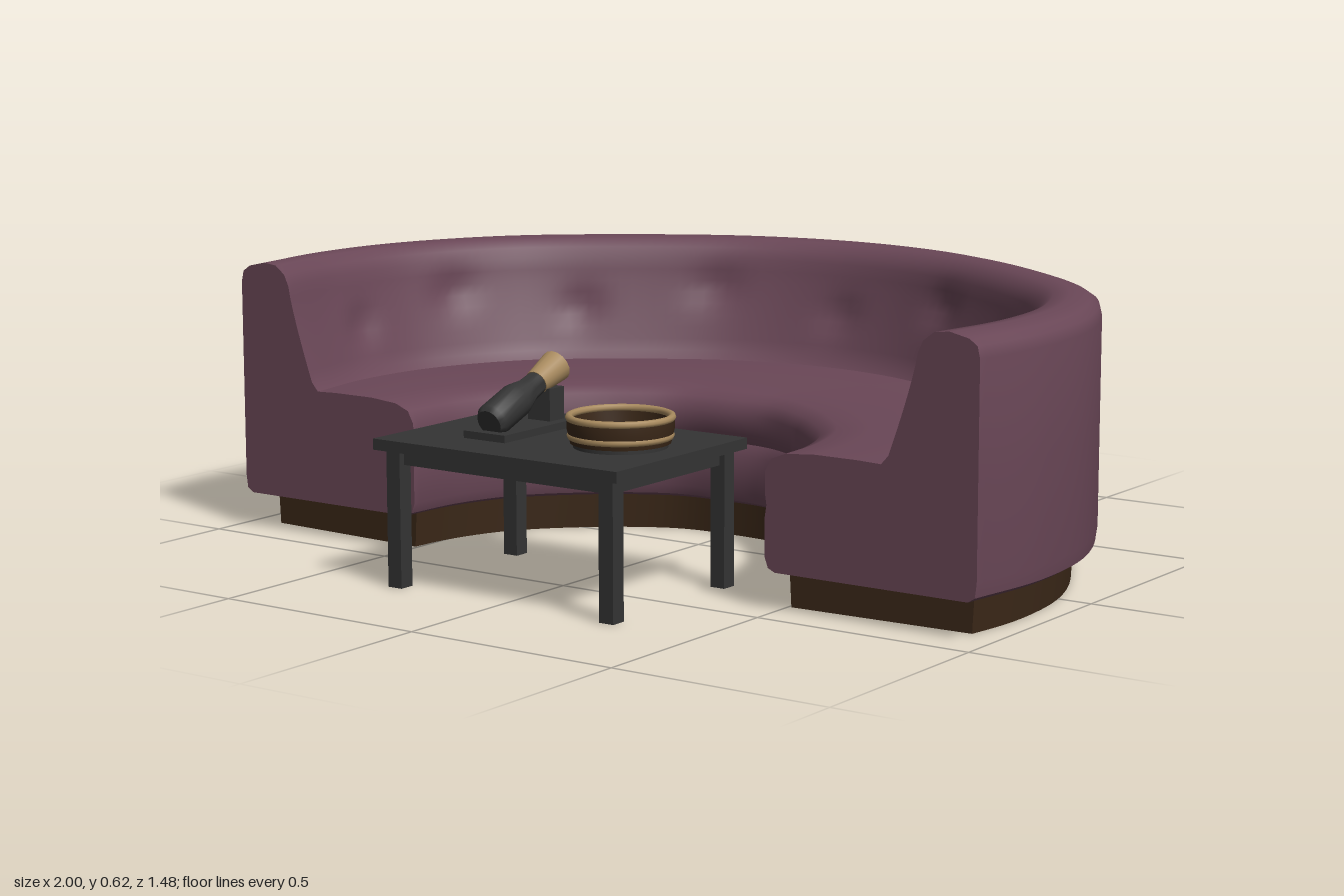
import * as THREE from 'three';
import { toCreasedNormals } from 'three/addons/utils/BufferGeometryUtils.js';

const mat = (name, color) => {
  const m = new THREE.MeshStandardMaterial({ color });
  m.name = name;
  return m;
};

// Plan curves of the sofa: matching outer and inner points, mirrored in x
const OUTER = [[-0.975, 0.43], [-1, 0.2], [-0.965, -0.05], [-0.83, -0.32], [-0.61, -0.52], [-0.31, -0.69], [0, -0.745]];
const INNER = [[-0.47, 0.43], [-0.455, 0.28], [-0.4, 0.14], [-0.3, 0.03], [-0.22, -0.03], [-0.12, -0.08], [0, -0.09]];
function planCurve(half) {
  const all = [...half, ...half.slice(0, -1).reverse().map(([x, z]) => [-x, z])];
  return new THREE.CatmullRomCurve3(all.map(([x, z]) => new THREE.Vector3(x, 0, z)));
}

// Sweeps a closed section between the curves. Section points are [edge, distance, y]:
// edge 'o' measures inward from the outer curve, 'i' outward from the inner one.
function sweep(section, t0, steps, shift = () => 0) {
  const outer = planCurve(OUTER), inner = planCurve(INNER);
  const n = section.length, pos = [], idx = [];
  for (let s = 0; s <= steps; s++) {
    const t = t0 + (1 - 2 * t0) * s / steps;
    const o = outer.getPoint(t), c = inner.getPoint(t);
    const dir = c.clone().sub(o).normalize();
    for (const [edge, d, y] of section) {
      const p = edge === 'o' ? o.clone().addScaledVector(dir, d) : c.clone().addScaledVector(dir, -d);
      p.addScaledVector(dir, shift(t, edge, d, y));
      pos.push(p.x, y, p.z);
    }
  }
  for (let s = 0; s < steps; s++) for (let j = 0; j < n; j++) {
    const k = (j + 1) % n, a = s * n, b = a + n;
    idx.push(a + j, a + k, b + j, a + k, b + k, b + j);
  }
  // End caps
  const flat = section.map(([e, d, y]) => new THREE.Vector2(e === 'o' ? d : 0.505 - d, y));
  for (const tri of THREE.ShapeUtils.triangulateShape(flat.slice(), [])) {
    const [a, b, c] = tri;
    const area = flat[b].clone().sub(flat[a]).cross(flat[c].clone().sub(flat[a]));
    const [p, q, r] = area > 0 ? [a, b, c] : [a, c, b];
    const e = steps * n;
    idx.push(p, q, r, e + p, e + r, e + q);
  }
  const g = new THREE.BufferGeometry();
  g.setAttribute('position', new THREE.Float32BufferAttribute(pos, 3));
  g.setIndex(idx);
  return toCreasedNormals(g, 0.75);
}

export function createModel() {
  const root = new THREE.Group();
  const upholstery = mat('plum upholstery', 0x6a4757);
  const wood = mat('dark brown wood', 0x3b2818);
  const black = mat('charcoal', 0x343434);
  const tan = mat('tan', 0xa88a5e);

  const add = (parent, name, geo, material, x = 0, y = 0, z = 0) => {
    const m = new THREE.Mesh(geo, material);
    m.name = name;
    m.position.set(x, y, z);
    parent.add(m);
    return m;
  };

  // Curved sofa body: outer wall, rounded top, sloped backrest, seat and front
  const sofa = new THREE.Group();
  sofa.name = 'sofa';
  root.add(sofa);
  const section = [['o', 0.02, 0.08], ['o', 0.004, 0.09], ['o', 0, 0.12], ['o', 0, 0.35], ['o', 0, 0.57],
    ['o', 0.006, 0.595], ['o', 0.025, 0.608], ['o', 0.07, 0.618], ['o', 0.105, 0.614], ['o', 0.13, 0.595]];
  for (let k = 0; k <= 8; k++) section.push(['o', 0.142 + 0.066 * (k / 8) ** 1.2, 0.57 - 0.215 * k / 8]);
  section.push(['o', 0.225, 0.336], ['o', 0.28, 0.338], ['i', 0.12, 0.338], ['i', 0.05, 0.332], ['i', 0.015, 0.318],
    ['i', 0, 0.29], ['i', 0, 0.245], ['i', 0.004, 0.22], ['i', 0, 0.195], ['i', 0, 0.11], ['i', 0.008, 0.088], ['i', 0.025, 0.08]);
  // Soft button dents in the backrest and a seam below the middle cushion
  const shift = (t, edge, d, y) => {
    if (edge === 'i') return Math.abs(y - 0.22) < 0.01 && t > 0.32 && t < 0.68 ? -0.012 : 0;
    if (d < 0.135 || d > 0.21) return 0;
    let dent = 0;
    for (let k = 0; k < 9; k++) {
      const u = (t - (0.1 + 0.1 * k)) / 0.017, v = (y - (k % 2 ? 0.5 : 0.45)) / 0.04;
      dent += Math.exp(-u * u - v * v);
    }
    return -0.016 * dent;
  };
  add(sofa, 'sofaBody', sweep(section, 0, 120, shift), upholstery);

  // Recessed plinth
  add(sofa, 'plinth', sweep([['o', 0.055, 0], ['o', 0.05, 0.09], ['i', 0.035, 0.09], ['i', 0.04, 0]], 0.024, 60), wood);

  // Coffee table
  const table = new THREE.Group();
  table.name = 'coffeeTable';
  table.position.z = 0.507;
  root.add(table);
  add(table, 'tableTop', new THREE.BoxGeometry(0.64, 0.024, 0.464), black, 0, 0.309, 0);
  add(table, 'apron', new THREE.BoxGeometry(0.57, 0.035, 0.4), black, 0, 0.283, 0);
  for (const sx of [-1, 1]) for (const sz of [-1, 1])
    add(table, 'tableLeg', new THREE.BoxGeometry(0.036, 0.3, 0.036), black, sx * 0.28, 0.15, sz * 0.197);

  // Hollow round dish: brown wall between tan rims
  const dish = new THREE.Group();
  dish.name = 'dish';
  dish.position.set(0.16, 0.32, 0.508);
  root.add(dish);
  const wall = [[0.098, 0.01], [0.106, 0.01], [0.113, 0.04], [0.113, 0.06], [0.103, 0.06], [0.098, 0.01]];
  add(dish, 'dishWall', toCreasedNormals(new THREE.LatheGeometry(wall.map(([x, y]) => new THREE.Vector2(x, y)), 40), 0.6), wood);
  add(dish, 'dishFoot', new THREE.CylinderGeometry(0.1, 0.1, 0.014, 40), black, 0, 0.006, 0);
  for (const [r, y, tube] of [[0.108, 0.064, 0.008], [0.104, 0.026, 0.009]])
    add(dish, 'dishRim', new THREE.TorusGeometry(r, tube, 8, 40).rotateX(Math.PI / 2), tan, 0, y, 0);

  // Bottle leaning back on a low stand
  const rest = new THREE.Group();
  rest.name = 'bottleRest';
  rest.position.set(-0.113, 0.32, 0.48);
  root.add(rest);
  add(rest, 'standPlate', new THREE.BoxGeometry(0.11, 0.018, 0.285), black, 0, 0.008, 0);
  add(rest, 'standBlock', new THREE.BoxGeometry(0.06, 0.085, 0.05), black, 0, 0.045, -0.07);
  const bottle = new THREE.Group();
  bottle.name = 'bottle';
  bottle.position.set(0, 0.035, 0.125);
  bottle.rotation.x = -1.19;
  rest.add(bottle);
  const profile = [[0, 0], [0.03, 0], [0.038, 0.012], [0.038, 0.1], [0.027, 0.14], [0.025, 0.18], [0, 0.18]];
  add(bottle, 'bottleBody', toCreasedNormals(new THREE.LatheGeometry(profile.map(([x, y]) => new THREE.Vector2(x, y)), 20), 0.7), black);
  add(bottle, 'bottleCap', new THREE.CylinderGeometry(0.036, 0.027, 0.075, 16), tan, 0, 0.212, 0);

  return root;
}
